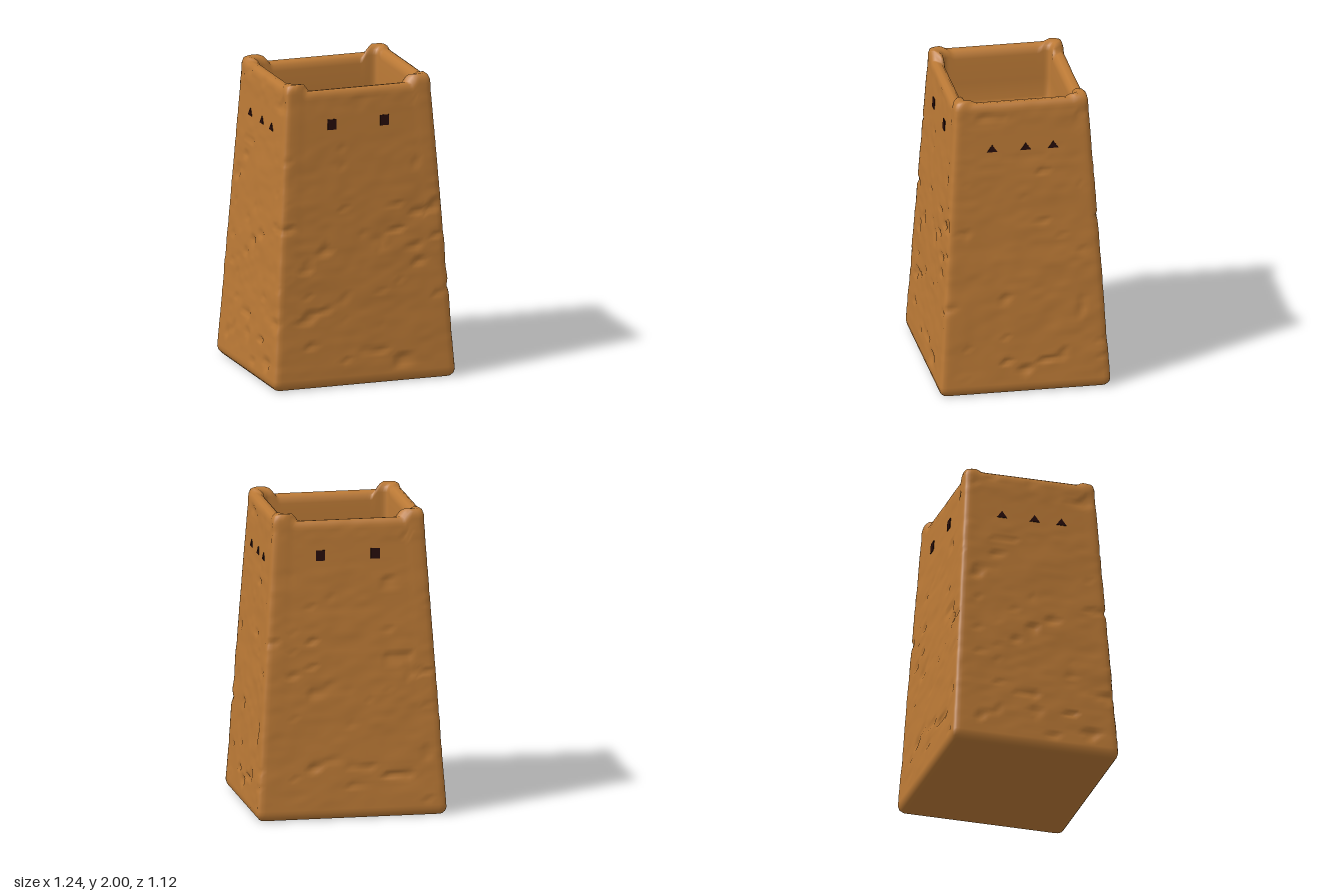
import * as THREE from 'three';

const clay = new THREE.MeshStandardMaterial({ color: 0xbc7a36 });
clay.name = 'clay';
const shadowBrown = new THREE.MeshStandardMaterial({ color: 0x260c0a });
shadowBrown.name = 'dark opening';

const lerp = THREE.MathUtils.lerp;
const smooth = THREE.MathUtils.smoothstep;

// Seeded lattice noise in the range -1..1
function hash(x, y, z) {
  let h = Math.imul(x, 374761393) ^ Math.imul(y, 668265263) ^ Math.imul(z, 1274126177);
  h = Math.imul(h ^ (h >>> 13), 1103515245);
  return ((h ^ (h >>> 16)) >>> 0) / 2147483648 - 1;
}
function noise(x, y, z) {
  const X = Math.floor(x), Y = Math.floor(y), Z = Math.floor(z);
  const u = smooth(x - X, 0, 1), v = smooth(y - Y, 0, 1), w = smooth(z - Z, 0, 1);
  const row = (j, k) => lerp(hash(X, Y + j, Z + k), hash(X + 1, Y + j, Z + k), u);
  return lerp(lerp(row(0, 0), row(1, 0), v), lerp(row(0, 1), row(1, 1), v), w);
}

// Weathered mud surface: soft unevenness plus scattered dents
function weather(x, y, z) {
  const soft = 0.003 * noise(x * 5, y * 8, z * 5) + 0.002 * noise(x * 12 + 9, y * 24, z * 12);
  const dent = Math.max(0, noise(x * 8 + 31, y * 18 + 7, z * 8 + 3) - 0.5);
  return soft - dent * lerp(0.045, 0.02, y / 2);
}

// Top edge: raised corners, lower parapets at front and back
function topHeight(a, b) {
  return Math.abs(b) === 1
    ? lerp(1.95, 2, smooth(Math.abs(a) * 0.49, 0.36, 0.41))
    : lerp(1.982, 2, smooth(Math.abs(b) * 0.43, 0.33, 0.38));
}

// One continuous skin: underside, sloping walls, rounded rim, inner walls, floor
function towerGeometry() {
  const perSide = 48, count = perSide * 4, wallRows = 90;
  const fixed = (hx, hz, y) => ({ hx, hz, y: () => y, rough: 0 });
  const rim = (hx, hz, drop, rough = 0) => ({ hx, hz, y: top => top - drop, rough });
  const rows = [fixed(0, 0, 0.005), fixed(0.3, 0.27, 0.005), fixed(0.57, 0.51, 0.004),
    fixed(0.6, 0.54, 0.008), fixed(0.615, 0.553, 0.025)];
  for (let i = 0; i <= wallRows; i++) {
    const t = i / wallRows;
    rows.push({
      hx: lerp(0.622, 0.495, t), hz: lerp(0.559, 0.437, t),
      y: top => lerp(0.05, top - 0.04, t), rough: Math.min(1, t * 20),
    });
  }
  rows.push(rim(0.487, 0.429, 0.012, 0.5), rim(0.468, 0.41, 0), rim(0.435, 0.378, 0.006),
    rim(0.416, 0.36, 0.025), rim(0.408, 0.353, 0.06),
    fixed(0.406, 0.351, 1.75), fixed(0.405, 0.35, 1.63), fixed(0.385, 0.33, 1.6),
    fixed(0.2, 0.17, 1.6), fixed(0, 0, 1.6));

  const positions = [], index = [];
  rows.forEach((row, j) => {
    for (let i = 0; i < count; i++) {
      const s = (i % perSide) / perSide * 2 - 1;
      const [a, b] = [[s, 1], [1, -s], [-s, -1], [-1, s]][Math.floor(i / perSide)];
      // rounded rectangle section
      const r = Math.min(0.035, row.hx / 2, row.hz / 2);
      const x = a * row.hx, z = b * row.hz;
      const qx = THREE.MathUtils.clamp(x, r - row.hx, row.hx - r);
      const qz = THREE.MathUtils.clamp(z, r - row.hz, row.hz - r);
      const len = Math.hypot(x - qx, z - qz) || 1;
      const nx = (x - qx) / len, nz = (z - qz) / len;
      const y = row.y(topHeight(a, b));
      // keep the band of openings calmer
      const calm = 1 - 0.85 * smooth(y, 1.6, 1.65) * (1 - smooth(y, 1.78, 1.83));
      const d = r + (row.rough ? row.rough * calm * weather(x, y, z) : 0);
      positions.push(qx + nx * d, y, qz + nz * d);
      if (j < rows.length - 1) {
        const p = j * count + i, q = j * count + (i + 1) % count;
        index.push(p, q, q + count, p, q + count, p + count);
      }
    }
  });
  const geometry = new THREE.BufferGeometry();
  geometry.setAttribute('position', new THREE.Float32BufferAttribute(positions, 3));
  geometry.setIndex(index);
  geometry.computeVertexNormals();
  return geometry;
}

// Thin dark plate from an outline
function plate(points) {
  const shape = new THREE.Shape(points.map(p => new THREE.Vector2(...p)));
  return new THREE.ExtrudeGeometry(shape, { depth: 0.006, bevelEnabled: false });
}

export function createModel() {
  const group = new THREE.Group();
  const tower = new THREE.Mesh(towerGeometry(), clay);
  tower.name = 'towerWalls';
  group.add(tower);

  const square = plate([[-0.03, -0.034], [0.03, -0.034], [0.03, 0.034], [-0.03, 0.034]]);
  const triangle = plate([[-0.034, -0.024], [0.034, -0.024], [0, 0.024]]);

  // Openings lie on the sloping wall of each face
  function opening(name, geometry, turn, across, y, out) {
    const face = new THREE.Group();
    face.name = name;
    face.rotation.y = turn;
    const mesh = new THREE.Mesh(geometry, shadowBrown);
    mesh.name = name + 'Plate';
    mesh.position.set(across, y, out);
    mesh.rotation.x = -0.065;
    face.add(mesh);
    group.add(face);
  }
  const wallAt = (y, low, high, top) => lerp(low, high, (y - 0.05) / (top - 0.09));
  for (const turn of [0, Math.PI]) {
    for (const x of [-0.19, 0.17]) {
      opening('squareWindow', square, turn, x, 1.725, wallAt(1.725, 0.559, 0.437, 1.95) - 0.001);
    }
  }
  for (const turn of [Math.PI / 2, -Math.PI / 2]) {
    for (const z of [-0.2, 0.02, 0.2]) {
      opening('triangleWindow', triangle, turn, z, 1.68, wallAt(1.68, 0.622, 0.495, 1.982) - 0.001);
    }
  }
  return group;
}
